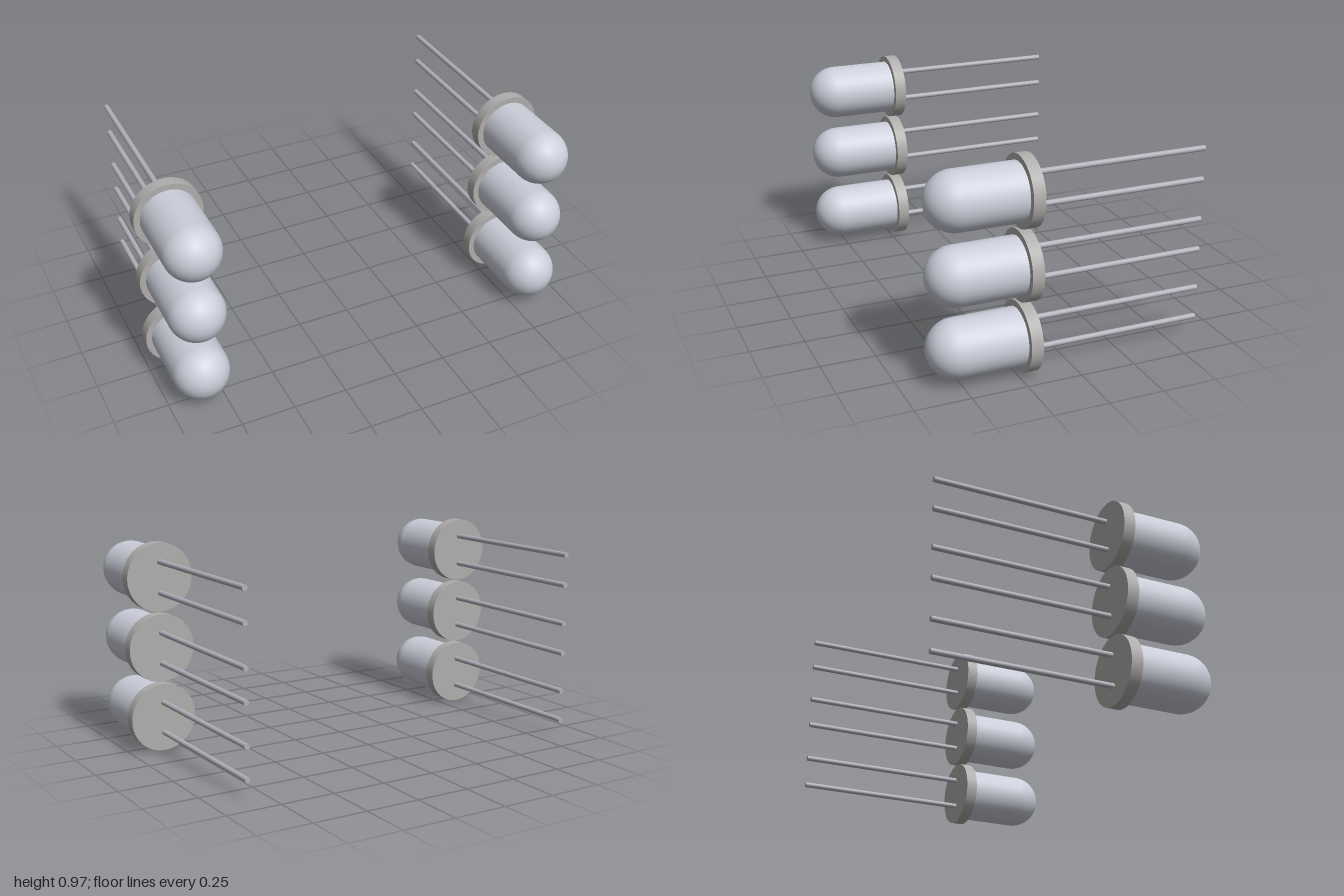
import * as THREE from 'three';

const material = (name, color) => {
  const m = new THREE.MeshStandardMaterial({ color });
  m.name = name;
  return m;
};

export function createModel() {
  const lens = material('pale blue grey lens', 0xcccfdb);
  const rim = material('warm grey rim', 0xb0aeac);
  const metal = material('lead metal', 0xb2b2bc);

  const R = 0.129, FLANGE_R = 0.157, LEAD_R = 0.0125;
  const BACK = 0.179, FRONT = 0.233, TIP = 0.638;

  // Lens body: straight barrel, then a hemispherical dome
  const profile = [new THREE.Vector2(R, FRONT - 0.01)];
  for (let i = 0; i <= 16; i++) {
    const a = (i / 16) * Math.PI / 2;
    profile.push(new THREE.Vector2(i === 16 ? 0 : R * Math.cos(a), TIP - R + R * Math.sin(a)));
  }
  const lensGeo = new THREE.LatheGeometry(profile, 48).rotateX(Math.PI / 2);

  // Cylinder along z between two depths
  const rod = (r, z0, z1, sides) =>
    new THREE.CylinderGeometry(r, r, z1 - z0, sides).rotateX(Math.PI / 2).translate(0, 0, (z0 + z1) / 2);
  const flangeGeo = rod(FLANGE_R, BACK, FRONT, 48);
  const leadGeo = rod(LEAD_R, -TIP, BACK + 0.01, 16);

  const model = new THREE.Group();
  model.name = 'bulbSet';
  const add = (parent, name, geometry, mat, y = 0) => {
    const mesh = new THREE.Mesh(geometry, mat);
    mesh.name = name;
    mesh.position.y = y;
    parent.add(mesh);
  };

  // Two columns of three bulbs
  for (const side of [-1, 1]) {
    for (let row = 0; row < 3; row++) {
      const bulb = new THREE.Group();
      bulb.name = `${side > 0 ? 'left' : 'right'}Bulb${row + 1}`;
      bulb.position.set(side * (1 - FLANGE_R), FLANGE_R + row * 0.326, 0);
      add(bulb, 'lens', lensGeo, lens);
      add(bulb, 'flange', flangeGeo, rim);
      add(bulb, 'upperLead', leadGeo, metal, 0.071);
      add(bulb, 'lowerLead', leadGeo, metal, -0.071);
      model.add(bulb);
    }
  }
  return model;
}
